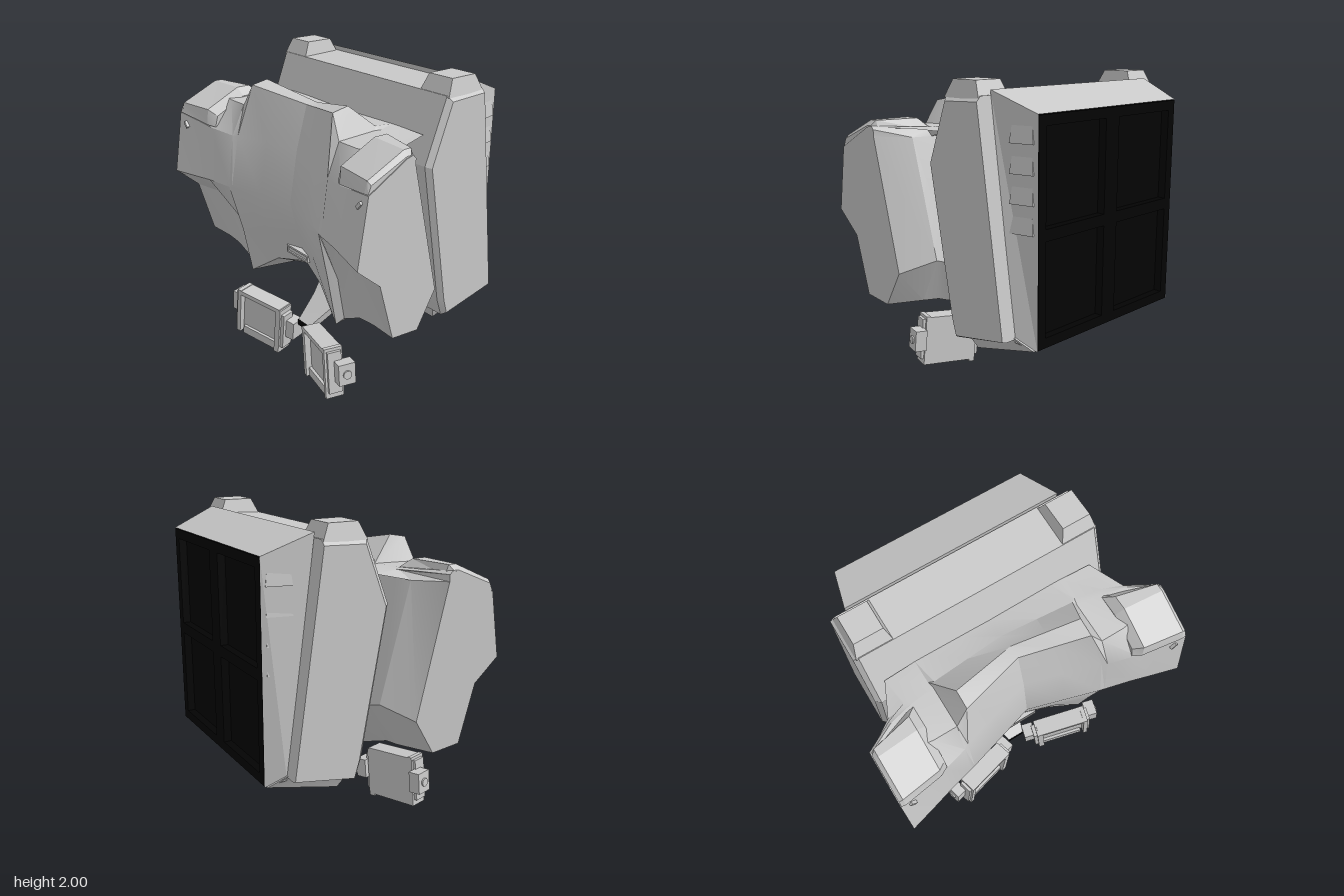
import * as THREE from 'three';
import { toCreasedNormals } from 'three/addons/utils/BufferGeometryUtils.js';

const grey = new THREE.MeshStandardMaterial({ color: 0xc9c9c9 });
grey.name = 'armour grey';
const black = new THREE.MeshStandardMaterial({ color: 0x030303 });
black.name = 'recess black';

function add(parent, name, geometry, material = grey, x = 0, y = 0, z = 0) {
  const mesh = new THREE.Mesh(geometry, material);
  mesh.name = name;
  mesh.position.set(x, y, z);
  parent.add(mesh);
  return mesh;
}

// Skin a row of rings; each ring runs counter-clockwise seen from the last ring's end.
function loft(rings, crease = 0.3, capEnd = true) {
  const pos = [];
  const tri = (...pts) => pts.forEach((p) => pos.push(...p));
  const n = rings[0].length;
  for (let i = 0; i + 1 < rings.length; i++) {
    for (let j = 0; j < n; j++) {
      const k = (j + 1) % n;
      const a = rings[i][j], b = rings[i + 1][j], c = rings[i + 1][k], d = rings[i][k];
      tri(a, d, c);
      tri(a, c, b);
    }
  }
  const cap = (ring, flip) => {
    const mid = [0, 1, 2].map((q) => ring.reduce((s, p) => s + p[q], 0) / n);
    ring.forEach((p, j) => {
      const q = ring[(j + 1) % n];
      if (flip) tri(mid, q, p); else tri(mid, p, q);
    });
  };
  cap(rings[0], true);
  if (capEnd) cap(rings[rings.length - 1], false);
  const geo = new THREE.BufferGeometry();
  geo.setAttribute('position', new THREE.Float32BufferAttribute(pos, 3));
  return toCreasedNormals(geo, crease);
}

const mirrorRing = (ring) => ring.map(([x, y, z]) => [-x, y, z]);
const mirrorRings = (rings) => rings.map(mirrorRing).reverse();
// Ring at one x from [z, y] pairs
const section = (x, pts) => pts.map(([z, y]) => [x, y, z]);

// Box with a narrowed top
function taperBox(w, h, d, sx, sz) {
  const geo = new THREE.BoxGeometry(w, h, d).toNonIndexed();
  const p = geo.attributes.position;
  for (let i = 0; i < p.count; i++) {
    if (p.getY(i) > 0) p.setXYZ(i, p.getX(i) * sx, p.getY(i), p.getZ(i) * sz);
  }
  geo.computeVertexNormals();
  return geo;
}

// Torso ring: collar rear, collar front, crest back and front, chest crease, ridge,
// under-ridge, front hem, rear hem, lower back; the neck under the collar follows by rule
function torsoRing(x, crestX, collarX, pts) {
  const [z, y] = pts[0];
  const ring = section(x, [...pts, [Math.max(0.14, z), y - 0.04]]);
  ring[0][0] = collarX;
  ring[2][0] = ring[3][0] = crestX;
  return ring;
}

function buildTorso(root) {
  const g = new THREE.Group();
  g.name = 'torso';
  root.add(g);
  const centre = torsoRing(0, 0, 0, [[-0.03, 1.68], [0.1, 1.71], [0.2, 1.77], [0.28, 1.77], [0.36, 1.5],
    [0.42, 1.17], [0.37, 0.95], [0.31, 0.73], [0.06, 0.6], [-0.1, 0.78]]);
  const fin = torsoRing(0.46, 0.4, 0.42, [[-0.03, 1.69], [0.14, 1.72], [0.29, 1.85], [0.4, 1.83], [0.49, 1.5],
    [0.555, 1.17], [0.49, 0.85], [0.43, 0.52], [0.06, 0.58], [-0.1, 0.78]]);
  const finOuter = torsoRing(0.49, 0.48, 0.49, [[-0.03, 1.69], [0.12, 1.7], [0.16, 1.7], [0.42, 1.69], [0.51, 1.5],
    [0.56, 1.16], [0.44, 0.85], [0.39, 0.56], [0.07, 0.58], [-0.09, 0.79]]);
  const shoulder = torsoRing(0.66, 0.63, 0.69, [[-0.02, 1.69], [0.15, 1.695], [0.18, 1.7], [0.42, 1.69], [0.56, 1.52],
    [0.605, 1.17], [0.5, 1.06], [0.41, 0.65], [0.12, 0.64], [-0.03, 0.9]]);
  const bevel = torsoRing(0.78, 0.78, 0.67, [[0.17, 1.69], [0.2, 1.7], [0.22, 1.71], [0.4, 1.7], [0.58, 1.54],
    [0.64, 1.17], [0.51, 1.04], [0.41, 0.66], [0.12, 0.66], [-0.02, 0.94]]);
  const side = torsoRing(0.96, 0.96, 0.96, [[0.3, 1.7], [0.31, 1.71], [0.32, 1.72], [0.36, 1.71], [0.62, 1.57],
    [0.69, 1.17], [0.53, 1.03], [0.43, 0.67], [0.24, 0.65], [0.11, 0.87]]);
  // Halfway ring, with the hem lifted into an arch
  const arch = centre.map((p, j) => p.map((v, q) => (v + fin[j][q]) / 2));
  arch[7][1] += 0.055;
  const half = [arch, fin, finOuter, shoulder, bevel, side];
  add(g, 'torsoShell', loft([...mirrorRings(half), centre, ...half], 0.42));

  // Raised shoulder pads, swept forward toward the outside, and the small slots below them
  const padRings = [
    section(0.63, [[0.17, 1.68], [0.2, 1.7], [0.33, 1.7], [0.53, 1.6], [0.55, 1.53], [0.3, 1.58]]),
    section(0.68, [[0.2, 1.69], [0.25, 1.75], [0.34, 1.75], [0.57, 1.64], [0.58, 1.54], [0.3, 1.6]]),
    section(0.93, [[0.29, 1.69], [0.31, 1.75], [0.36, 1.75], [0.605, 1.64], [0.625, 1.575], [0.4, 1.6]]),
    section(0.955, [[0.32, 1.69], [0.33, 1.72], [0.36, 1.72], [0.6, 1.62], [0.62, 1.575], [0.4, 1.6]]),
  ];
  add(g, 'leftShoulderPad', loft(padRings));
  add(g, 'rightShoulderPad', loft(mirrorRings(padRings)));
  for (const s of [-1, 1]) {
    add(g, 'chestSlot', new THREE.BoxGeometry(0.02, 0.045, 0.03), grey, s * 0.89, 1.5, 0.615).rotation.z = -s * 0.7;
  }

  // Waist vent
  for (const y of [0.785, 0.825]) add(g, 'ventLip', new THREE.BoxGeometry(0.22, 0.012, 0.07), grey, 0, y, 0.345);
  for (const s of [-1, 1]) add(g, 'ventEnd', new THREE.BoxGeometry(0.012, 0.05, 0.07), grey, s * 0.105, 0.805, 0.345);
  add(g, 'ventSlat', new THREE.BoxGeometry(0.2, 0.03, 0.05), grey, 0, 0.805, 0.345);
}

function buildBackpack(root) {
  const g = new THREE.Group();
  g.name = 'backpack';
  root.add(g);
  const outer = [[-0.4, 1.92], [-0.12, 1.91], [0.03, 1.53], [-0.13, 0.62], [-0.17, 0.5], [-0.58, 0.58]];
  const inset = [[-0.4, 1.89], [-0.14, 1.88], [0.0, 1.52], [-0.16, 0.62], [-0.19, 0.52], [-0.58, 0.59]];
  const half = [section(0.76, outer), section(0.79, inset)];
  add(g, 'packBody', loft([...mirrorRings(half), ...half]));

  // Tapered rear housing, open at the back
  const rect = (w, y0, z0, y1, z1) => [[-w, y0, z0], [w, y0, z0], [w, y1, z1], [-w, y1, z1]];
  add(g, 'rearHousing', loft([rect(0.69, 1.95, -0.4, 0.56, -0.58), rect(0.625, 1.835, -0.69, 0.515, -0.69)], 0.1, false));

  // Sloping belly plate between the feet
  add(g, 'bellyPlate', new THREE.PlaneGeometry(1.04, 0.48), grey, 0, 0.465, -0.455).rotation.x = Math.PI / 2 + 0.23;

  // Four-bay rear panel
  const box = (P, x0, y0, x1, y1) => {
    const p = new P();
    p.moveTo(x0, y0); p.lineTo(x1, y0); p.lineTo(x1, y1); p.lineTo(x0, y1); p.closePath();
    return p;
  };
  const frame = box(THREE.Shape, -0.62, 0.52, 0.62, 1.83);
  for (const x of [-0.56, 0.06]) {
    for (const y of [0.58, 1.21]) frame.holes.push(box(THREE.Path, x, y, x + 0.5, y + 0.56));
  }
  add(g, 'rearPanelFrame', new THREE.ExtrudeGeometry(frame, { depth: 0.05, bevelEnabled: false }), black, 0, 0, -0.69);
  add(g, 'rearPanelFloor', new THREE.BoxGeometry(1.24, 1.31, 0.02), black, 0, 1.175, -0.63);

  for (const s of [-1, 1]) {
    // Upper corner blocks
    add(g, 'topBlock', taperBox(0.23, 0.1, 0.28, 0.78, 0.66), grey, s * 0.66, 1.95, -0.26);
    // Lower feet, sloping up toward the back
    const foot = [[0.5, 0.7, 0.53, -0.16, 0.59, -0.58], [0.51, 0.645, 0.41, -0.22, 0.52, -0.68]].map(
      ([x0, x1, yf, zf, yb, zb]) => {
        const [a, b] = s > 0 ? [x0, x1] : [-x1, -x0];
        return [[a, yb, zb], [b, yb, zb], [b, yf, zf], [a, yf, zf]];
      });
    add(g, 'foot', loft(foot));
    // Side louvres
    for (let i = 0; i < 4; i++) {
      const fin = add(g, 'louvre', taperBox(0.05, 0.13, 0.15, 0.3, 0.8), grey, s * 0.635, 1.74 - i * 0.165, -0.59);
      fin.rotation.y = s * 0.22;
    }
  }
}

function buildTail(root) {
  // Bent strap narrowing toward the front: half width, y, z
  const path = [[0.16, 0.78, -0.11], [0.16, 0.6, -0.06], [0.155, 0.47, 0.07], [0.11, 0.39, 0.17], [0.06, 0.27, 0.34]];
  add(root, 'tailStrap', loft(path.map(([w, y, z]) =>
    [[w, y, z], [-w, y, z], [-w, y - 0.035, z - 0.03], [w, y - 0.035, z - 0.03]])));
  add(root, 'tailTip', new THREE.PlaneGeometry(0.12, 0.045), black, 0, 0.255, 0.342);
}

// Pod swept forward at its outer end, with a recessed face between raised rims
function buildPod(root, s) {
  const g = new THREE.Group();
  g.name = s > 0 ? 'leftPod' : 'rightPod';
  g.position.set(s * 0.33, 0.195, 0.44);
  g.rotation.set(0, -s * 0.27, s * 0.1);
  root.add(g);
  const part = (name, w, h, d, x, y, z) => add(g, name, new THREE.BoxGeometry(w, h, d), grey, s * x, y, z);
  part('podPlate', 0.34, 0.32, 0.08, 0, 0, -0.02);
  part('podTopRim', 0.35, 0.03, 0.12, 0, 0.16, 0);
  part('podLowerLedge', 0.3, 0.06, 0.06, 0, -0.145, 0.01);
  part('outerFlange', 0.03, 0.34, 0.12, 0.18, 0.01, 0);
  part('outerStep', 0.03, 0.28, 0.09, 0.2, 0.02, 0);
  part('innerFlange', 0.04, 0.34, 0.12, -0.165, -0.005, 0);
  part('innerStep', 0.03, 0.26, 0.09, -0.195, 0, 0);
  part('innerMount', 0.08, 0.13, 0.1, -0.235, 0.02, -0.03);
  part('outerMount', 0.08, 0.14, 0.11, 0.245, 0.03, -0.05);
  const boss = add(g, 'boss', new THREE.CylinderGeometry(0.028, 0.028, 0.04, 12), grey, s * 0.275, 0.03, -0.05);
  boss.rotation.z = Math.PI / 2;
}

export function createModel() {
  const root = new THREE.Group();
  root.name = 'armourUnit';
  buildTorso(root);
  buildBackpack(root);
  buildTail(root);
  for (const s of [-1, 1]) buildPod(root, s);
  return root;
}
